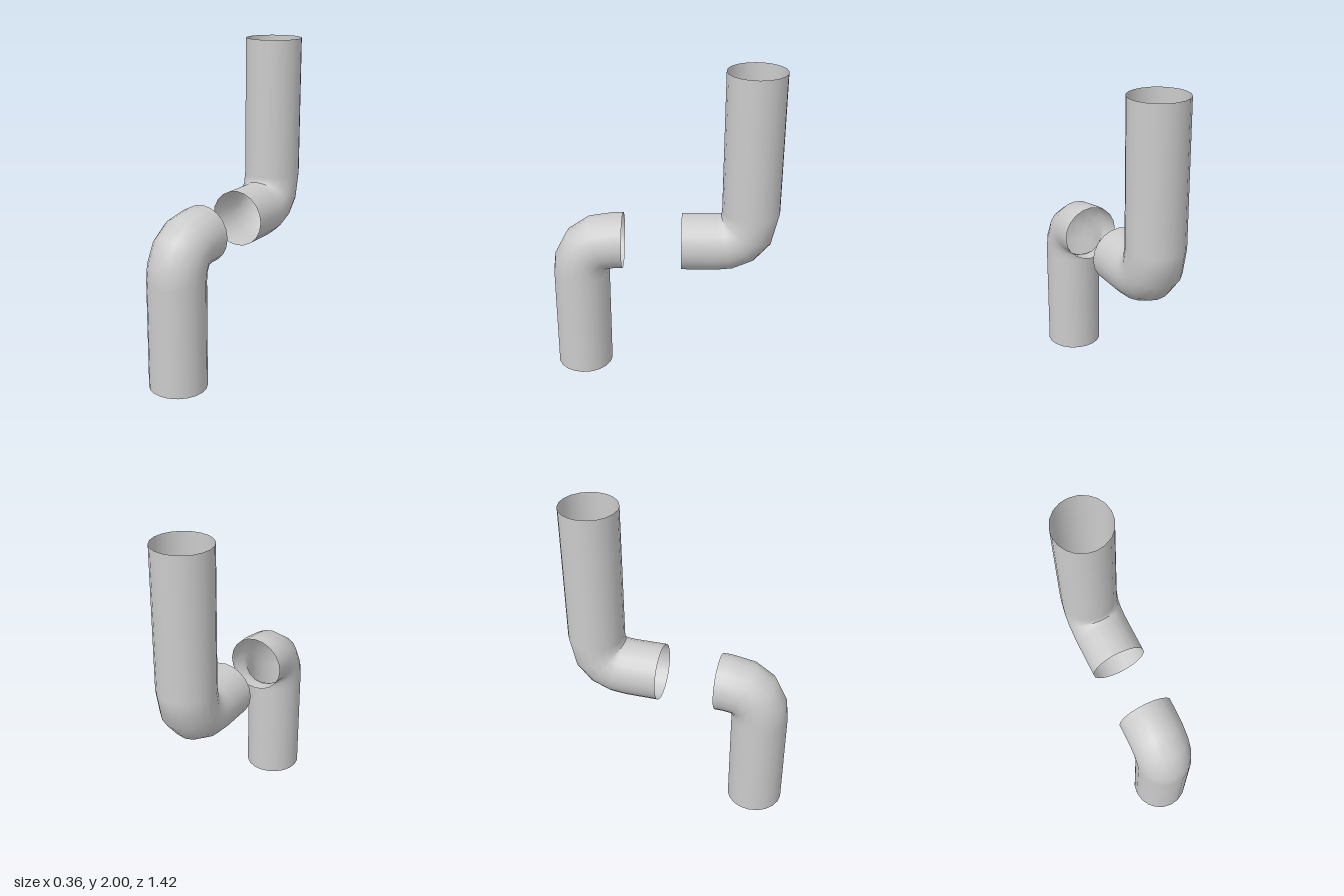
import * as THREE from 'three';

const RADIUS = 0.179; // pipe radius
const BEND = 0.218;   // distance from the elbow corner to where the bend starts
const SIDES = 20;

// Open bent pipe: rises along +y to the corner at the origin, then runs along -z.
// bendSteps are the parameters (0..1) of the rings along the quadratic elbow.
function bentPipe(riseLength, runLength, bendSteps) {
  const rings = [
    { t: 0, y: -riseLength, z: 0 },
    ...bendSteps.map((t) => ({ t, y: -BEND * (1 - t) ** 2, z: -BEND * t * t })),
    { t: 1, y: 0, z: -runLength },
  ];
  const positions = [], normals = [], indices = [];
  rings.forEach(({ t, y, z }, i) => {
    const out = new THREE.Vector3(0, t, 1 - t).normalize(); // outer side of the bend
    for (let j = 0; j <= SIDES; j++) {
      const a = (j / SIDES) * Math.PI * 2;
      const n = out.clone().multiplyScalar(Math.cos(a));
      n.x = Math.sin(a);
      normals.push(n.x, n.y, n.z);
      positions.push(RADIUS * n.x, y + RADIUS * n.y, z + RADIUS * n.z);
      if (i > 0 && j < SIDES) {
        const p = (i - 1) * (SIDES + 1) + j, q = p + SIDES + 1;
        indices.push(p, p + 1, q + 1, p, q + 1, q);
      }
    }
  });
  const geometry = new THREE.BufferGeometry();
  geometry.setAttribute('position', new THREE.Float32BufferAttribute(positions, 3));
  geometry.setAttribute('normal', new THREE.Float32BufferAttribute(normals, 3));
  geometry.setIndex(indices);
  return geometry;
}

export function createModel() {
  const group = new THREE.Group();
  group.name = 'pipes';
  const material = new THREE.MeshStandardMaterial({ color: 0xcccccc, side: THREE.DoubleSide });

  // Front pipe: stands on the ground and bends backwards
  const lower = new THREE.Mesh(bentPipe(0.895, 0.269, [0, 0.2, 0.47, 0.72, 1]), material);
  lower.name = 'lowerPipe';
  lower.position.set(0, 0.895, 0.533);

  // Rear pipe: the same shape turned over, coming down and bending forwards
  const upper = new THREE.Mesh(bentPipe(1.105, 0.428, [0, 0.34, 0.58, 0.81, 1]), material);
  upper.name = 'upperPipe';
  upper.position.set(0, 0.895, -0.533);
  upper.rotation.x = Math.PI;

  group.add(lower, upper);
  return group;
}
